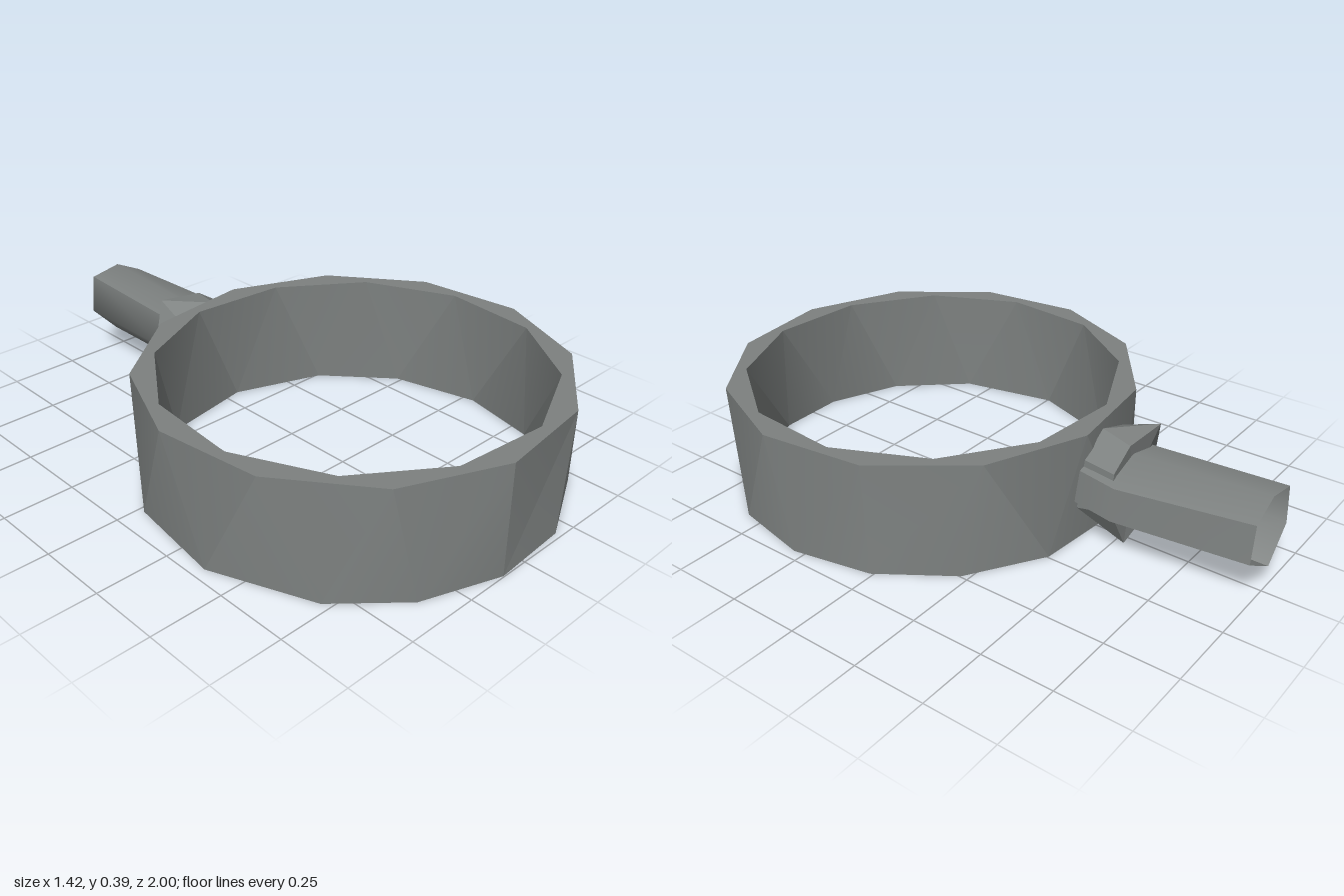
import * as THREE from 'three';
import { toCreasedNormals } from 'three/addons/utils/BufferGeometryUtils.js';

const TURN = Math.PI * 2;

// Horizontal loop of the ring, from corner angles in degrees
function ringLoop(degrees, radius, y) {
  return degrees.map((d) => {
    const a = THREE.MathUtils.degToRad(d);
    return { a, p: [radius * Math.cos(a), y, 0.29 + radius * Math.sin(a)] };
  });
}

// Upright loop around the handle axis, from [x, y, z] corners
function handleLoop(points) {
  return points
    .map((p) => ({ a: (Math.atan2(p[1] - 0.2, p[0]) + TURN) % TURN, p }))
    .sort((m, n) => m.a - n.a);
}

// Joins two loops with different corner counts by advancing the one that lags
function stitch(A, B, out) {
  const at = (L, i) => L[i % L.length].p;
  const angle = (L, i) => L[i % L.length].a + TURN * Math.floor(i / L.length);
  let i = 0, j = 0;
  while (i < A.length || j < B.length) {
    const moveA = j >= B.length || (i < A.length && angle(A, i + 1) <= angle(B, j + 1));
    out.push(...at(A, i), ...at(B, j), ...(moveA ? at(A, i + 1) : at(B, j + 1)));
    if (moveA) i++; else j++;
  }
}

// Skin over a sequence of loops; cap closes the last loop
function skin(loops, crease, cap) {
  const out = [];
  for (let k = 0; k < loops.length - 1; k++) stitch(loops[k], loops[k + 1], out);
  if (cap) {
    const last = loops[loops.length - 1];
    last.forEach((v, k) => out.push(...v.p, ...cap, ...last[(k + 1) % last.length].p));
  }
  const geo = new THREE.BufferGeometry();
  geo.setAttribute('position', new THREE.Float32BufferAttribute(out, 3));
  return toCreasedNormals(geo, crease);
}

export function createModel() {
  const group = new THREE.Group();
  const grey = new THREE.MeshStandardMaterial({ color: 0x7d8180, side: THREE.DoubleSide });
  grey.name = 'grey';

  const add = (name, geometry) => {
    const mesh = new THREE.Mesh(geometry, grey);
    mesh.name = name;
    group.add(mesh);
  };

  // Faceted ring: twelve corners on top, uneven corners below
  const twelve = (start) => Array.from({ length: 12 }, (_, i) => start + i * 30);
  const outerBottom = ringLoop([0, 23, 50, 75, 98, 121, 143, 173, 202, 231, 260, 290, 314, 337], 0.714, 0);
  const outerTop = ringLoop(twelve(8), 0.712, 0.39);
  const innerTop = ringLoop(twelve(20), 0.65, 0.39);
  const innerBottom = ringLoop([0, 25, 50, 78, 100, 125, 152, 184, 215, 245, 275, 305, 332], 0.65, 0);
  add('ring', skin([outerBottom, outerTop, innerTop, innerBottom, outerBottom], 0.42));

  // Hollow handle, slightly wider at the ring end
  const section = [[0.115, 0.16], [0.1, 0.29], [0, 0.34], [-0.115, 0.32], [-0.13, 0.18], [-0.03, 0.075]];
  const handleEnd = handleLoop(section.map(([x, y]) => [x, y, -1]));
  const handleBase = handleLoop(section.map(([x, y]) => [x > 0 ? x + 0.05 : x, y > 0.25 ? y - 0.02 : y, -0.55]));
  const handleRoot = handleLoop(section.map(([x, y]) => [x > 0 ? x + 0.02 : x, y > 0.25 ? y - 0.02 : y, -0.4]));
  add('handle', skin([handleRoot, handleBase, handleEnd], 0.9));

  // Jagged collar where the handle meets the ring
  const collarFront = handleLoop([
    [0.1, 0.3, -0.41], [0, 0.37, -0.41], [-0.14, 0.32, -0.4],
    [-0.14, 0.1, -0.4], [0, 0.04, -0.42], [0.12, 0.13, -0.4],
  ]);
  const collarBack = handleLoop([
    [0.12, 0.3, -0.53], [0.03, 0.36, -0.53], [-0.13, 0.375, -0.545], [-0.21, 0.22, -0.49],
    [-0.11, 0.06, -0.54], [0.06, 0.02, -0.545], [0.14, 0.17, -0.54],
  ]);
  add('collar', skin([collarFront, collarBack], 0.1, [-0.02, 0.2, -0.52]));

  return group;
}
